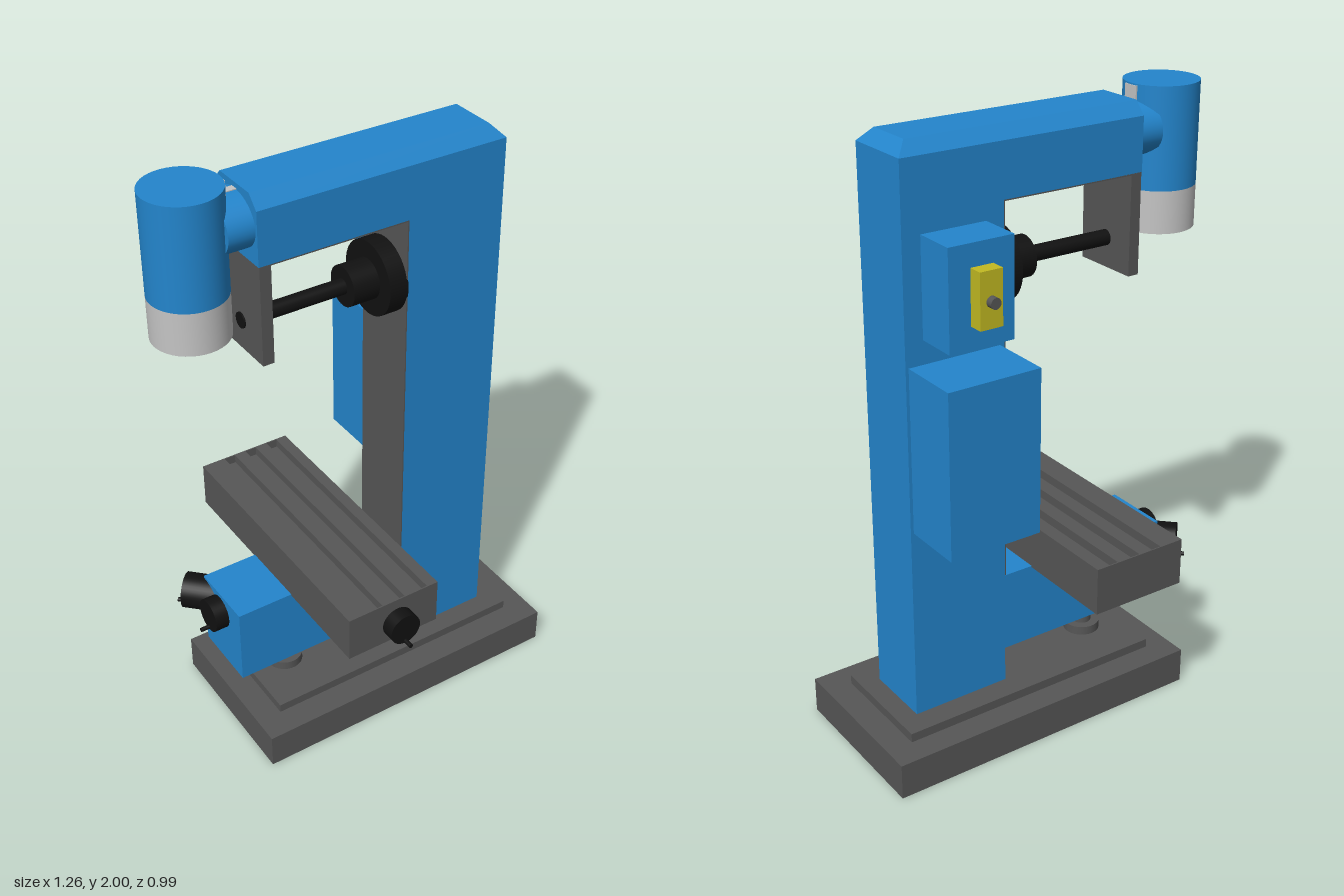
import * as THREE from 'three';

const material = (name, color) => {
  const m = new THREE.MeshStandardMaterial({ color });
  m.name = name;
  return m;
};

export function createModel() {
  const blue = material('blue paint', 0x2385cc);
  const grey = material('dark iron', 0x565656);
  const black = material('black', 0x111111);
  const light = material('light metal', 0xc4c4c4);
  const yellow = material('yellow', 0xc2ba22);
  const Z = -0.039; // depth of the machine's centre plane
  const zBack = -0.155, zFront = 0.077;
  const model = new THREE.Group();
  model.name = 'millingMachine';

  const add = (name, geometry, mat, parent = model) => {
    const mesh = new THREE.Mesh(geometry, mat);
    mesh.name = name;
    parent.add(mesh);
    return mesh;
  };
  // Box given by its limits on each axis
  const box = (name, mat, x0, x1, y0, y1, z0, z1) => {
    const m = add(name, new THREE.BoxGeometry(x1 - x0, y1 - y0, z1 - z0), mat);
    m.position.set((x0 + x1) / 2, (y0 + y1) / 2, (z0 + z1) / 2);
    return m;
  };
  // Cylinder between two points
  const rod = (name, mat, r, a, b, parent = model) => {
    const p = new THREE.Vector3(...a), q = new THREE.Vector3(...b);
    const d = q.clone().sub(p);
    const m = add(name, new THREE.CylinderGeometry(r, r, d.length(), 40), mat, parent);
    m.position.copy(p).add(q).multiplyScalar(0.5);
    m.quaternion.setFromUnitVectors(new THREE.Vector3(0, 1, 0), d.normalize());
    return m;
  };

  // Base
  box('base', grey, -0.47, 0.63, 0, 0.12, -0.318, 0.236);
  box('basePlate', grey, -0.385, 0.543, 0.12, 0.15, -0.234, 0.148);
  rod('screwFlange', grey, 0.06, [-0.255, 0.15, Z], [-0.255, 0.18, Z]);
  rod('liftScrew', grey, 0.032, [-0.255, 0.18, Z], [-0.255, 0.28, Z]);

  // Column, knee and overarm in one side profile
  const profile = new THREE.Shape([
    [0.14, 0.15], [0.476, 0.15], [0.476, 1.93], [-0.357, 1.93], [-0.357, 1.76],
    [0.14, 1.76], [0.14, 0.54], [-0.48, 0.54], [-0.48, 0.27], [0.14, 0.27],
  ].map(([x, y]) => new THREE.Vector2(x, y)));
  const frame = new THREE.ExtrudeGeometry(profile, { depth: zFront - zBack, bevelEnabled: false });
  add('frame', frame, blue).position.z = zBack;

  // Chamfered cap along the overarm
  const cap = box('overarmCap', blue, -0.357, 0.476, 1.93, 1.97, zBack, zFront);
  const pos = cap.geometry.attributes.position;
  for (let i = 0; i < pos.count; i++) {
    if (pos.getY(i) < 0) continue;
    pos.setZ(i, pos.getZ(i) - Math.sign(pos.getZ(i)) * 0.037);
    if (pos.getX(i) > 0) pos.setX(i, pos.getX(i) - 0.038);
  }
  cap.geometry = cap.geometry.toNonIndexed();
  cap.geometry.computeVertexNormals();

  // Bare iron slideways inside the frame
  box('columnSlideway', grey, 0.136, 0.141, 0.541, 1.76, zBack, zFront);
  box('overarmSlideway', grey, -0.355, 0.14, 1.756, 1.761, zBack, zFront);
  box('arborSupport', grey, -0.355, -0.318, 1.44, 1.758, zBack, zFront);

  // Horizontal arbor
  rod('arbor', black, 0.025, [-0.36, 1.535, Z], [0, 1.535, Z]);
  rod('arborCollar', black, 0.065, [-0.013, 1.535, Z], [0.08, 1.535, Z]);
  rod('spindleFlange', black, 0.12, [0.076, 1.535, Z], [0.14, 1.535, Z]);

  // Vertical head
  const hx = -0.517, hr = 0.118;
  rod('headMotor', blue, hr, [hx, 1.68, Z], [hx, 2, Z]);
  rod('headNose', light, hr, [hx, 1.545, Z], [hx, 1.68, Z]);
  const ring = add('spindleRing', new THREE.TorusGeometry(0.055, 0.008, 10, 32), grey);
  ring.rotation.x = Math.PI / 2;
  ring.position.set(hx, 1.546, Z);
  const neck = rod('headSwivel', blue, 1, [-0.44, 1.867, Z], [-0.355, 1.867, Z]);
  neck.scale.set(0.085, 1, 0.108);
  box('headScale', light, -0.403, -0.397, 1.93, 1.995, Z - 0.026, Z + 0.026);
  box('swivelScale', light, -0.402, -0.357, 1.945, 1.954, Z - 0.012, Z + 0.012);

  // Table with three slots
  const tx0 = -0.288, tx1 = 0.037, tz0 = -0.494, tz1 = 0.418;
  box('table', grey, tx0, tx1, 0.535, 0.66, tz0, tz1);
  const rect = (Type, x0, x1, y0, y1) => new Type(
    [[x0, y0], [x1, y0], [x1, y1], [x0, y1]].map((p) => new THREE.Vector2(...p)));
  const top = rect(THREE.Shape, tx0, tx1, -tz1, -tz0);
  for (const x of [-0.206, -0.124, -0.041]) {
    top.holes.push(rect(THREE.Path, x, x + 0.04, -tz1 + 0.004, -tz0 - 0.004));
  }
  const tableTop = add('slottedTableTop',
    new THREE.ExtrudeGeometry(top, { depth: 0.03, bevelEnabled: false }), grey);
  tableTop.rotation.x = -Math.PI / 2;
  tableTop.position.y = 0.66;

  // Handwheels, each built along +z with a small crank pin
  const handwheel = (name, r, back, front, x, y, z, turn) => {
    const g = new THREE.Group();
    g.name = name;
    rod('wheel', black, r, [0, 0, -back], [0, 0, front], g);
    rod('crankPin', black, 0.007, [0, -r * 0.85, front], [0, -r * 0.85, front + 0.03], g);
    g.position.set(x, y, z);
    g.rotation.y = turn;
    model.add(g);
  };
  handwheel('tableHandwheel', 0.053, 0, 0.046, -0.112, 0.602, tz1, 0);
  handwheel('kneeHandwheel', 0.056, 0, 0.046, -0.48, 0.47, Z - 0.01, -Math.PI / 2);
  handwheel('cornerHandwheel', 0.059, 0.05, 0.064, -0.482, 0.473, -0.153, -Math.PI * 0.75);

  // Electrical cabinet and control box on the back
  box('cabinet', blue, 0.155, 0.466, 0.795, 1.325, -0.362, zBack);
  box('controlBox', blue, 0.2, 0.416, 1.4, 1.71, -0.294, zBack);
  box('switchPlate', yellow, 0.27, 0.345, 1.47, 1.64, -0.341, -0.294);
  rod('switchKnob', grey, 0.017, [0.308, 1.55, -0.341], [0.308, 1.55, -0.364]);
  [yellow, yellow, black].forEach((mat, i) => {
    const y = 1.595 - i * 0.068;
    rod('pushButton', mat, 0.013, [0.185, y, -0.226], [0.2, y, -0.226]);
  });

  return model;
}
